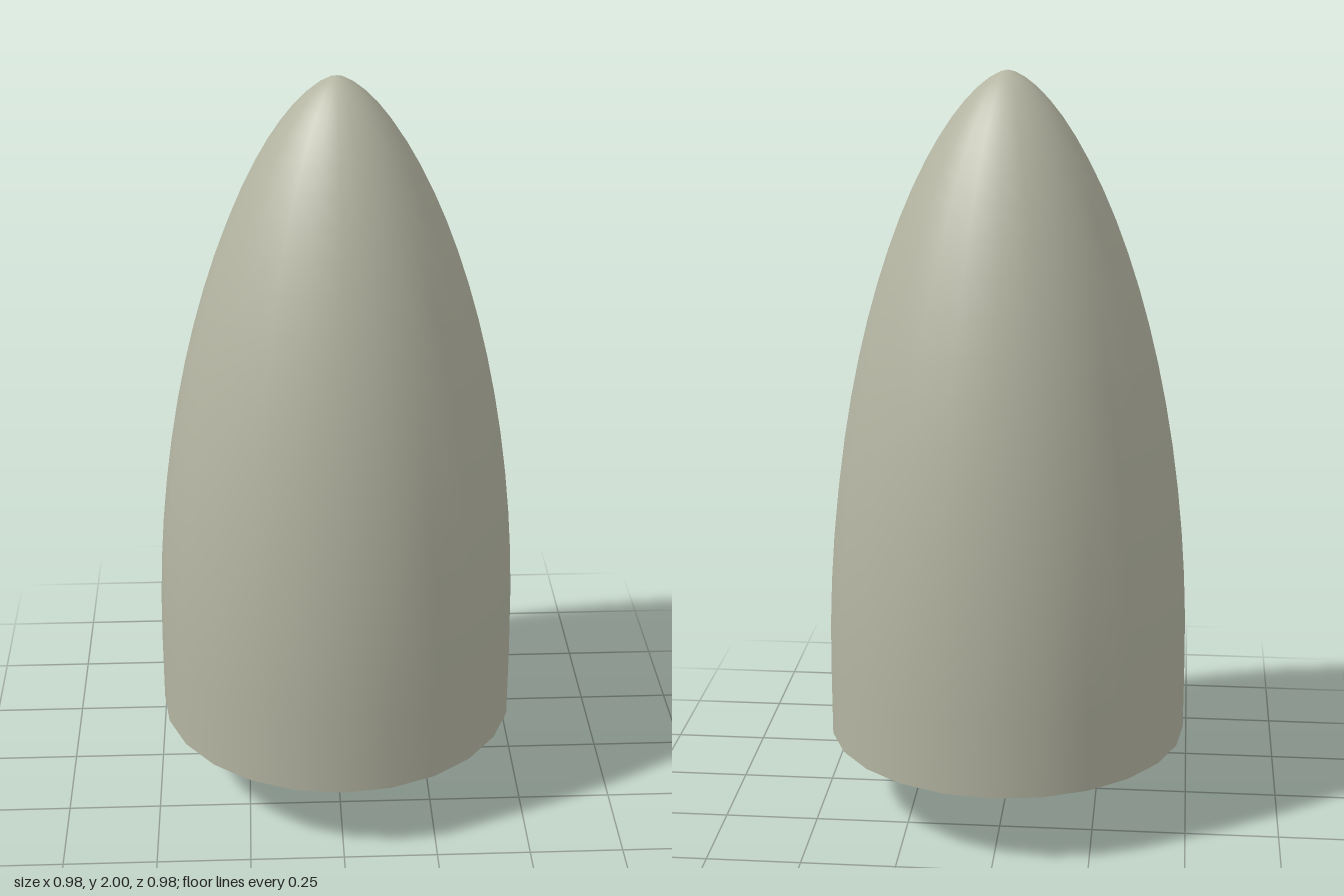
import * as THREE from 'three';

const RADIUS = 0.488, SIDES = 24, BASE_Y = 0.2, SHOULDER_Y = 0.4, TIP_Y = 2;

// Radius of the ogive at fraction t of its height (0 shoulder, 1 tip)
const ogive = t => RADIUS * Math.pow(Math.max(0, 1 - t * t), 0.635);

export function createModel() {
  const model = new THREE.Group();
  const shellMaterial = new THREE.MeshStandardMaterial({ color: 0xb3b4a1 });
  const pinMaterial = new THREE.MeshStandardMaterial({ color: 0xada191 });

  // Rounded nose over a short straight skirt; steps shrink towards the tip
  const profile = [new THREE.Vector2(RADIUS, BASE_Y)];
  const steps = 20;
  for (let i = 0; i <= steps; i++) {
    const t = Math.sin((i / steps) * Math.PI / 2);
    profile.push(new THREE.Vector2(ogive(t), SHOULDER_Y + (TIP_Y - SHOULDER_Y) * t));
  }
  const nose = new THREE.Mesh(new THREE.LatheGeometry(profile, SIDES), shellMaterial);
  nose.name = 'noseShell';
  model.add(nose);

  // Flat underside
  const base = new THREE.Mesh(new THREE.CircleGeometry(RADIUS, SIDES), shellMaterial);
  base.name = 'basePlate';
  base.rotation.x = Math.PI / 2;
  base.position.y = BASE_Y;
  model.add(base);

  // Mounting pin below the base
  const pin = new THREE.Mesh(new THREE.CylinderGeometry(0.062, 0.062, BASE_Y, 8), pinMaterial);
  pin.name = 'mountingPin';
  pin.position.y = BASE_Y / 2;
  model.add(pin);

  return model;
}
